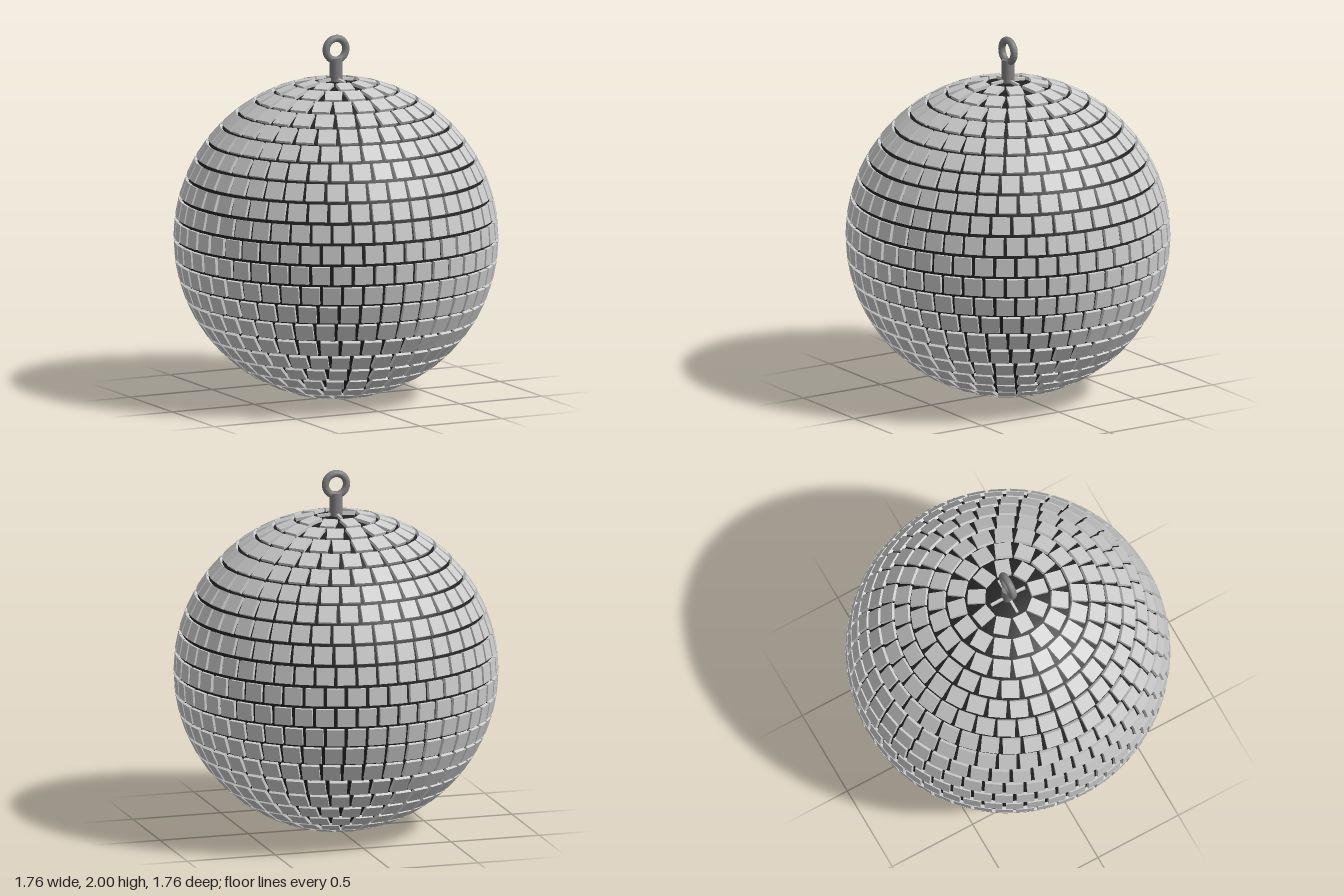
import * as THREE from 'three';
import { mergeGeometries } from 'three/addons/utils/BufferGeometryUtils.js';

const CENTER_Y = 0.883;
const FACE_R = 0.88; // distance from ball centre to a tile's face
const ROWS = 24;
const TILE = 0.096;
const THICK = 0.03;

const material = (color) => new THREE.MeshStandardMaterial({ color });

function addMesh(parent, name, geometry, mat, y) {
  const mesh = new THREE.Mesh(geometry, mat);
  mesh.name = name;
  mesh.position.y = y;
  parent.add(mesh);
  return mesh;
}

// One ring of flat mirror tiles, every other ring shifted by half a tile
function tileRow(i) {
  const pitch = Math.PI / ROWS;
  const theta = (i + 0.5) * pitch;
  const count = Math.max(4, Math.floor(2 * ROWS * Math.sin(theta)));
  // Tiles near the poles narrow so that their inner corners do not overlap
  const polar = Math.min(theta, Math.PI - theta);
  const innerR = FACE_R * Math.sin(polar - TILE / FACE_R / 2);
  const width = Math.min(TILE, (0.92 * innerR * 2 * Math.PI) / count);
  const tiles = [];
  for (let j = 0; j < count; j++) {
    const phi = ((j + (i % 2) / 2) / count) * Math.PI * 2;
    const tile = new THREE.BoxGeometry(width, TILE, THICK);
    tile.translate(0, 0, FACE_R - THICK / 2);
    tile.rotateX(theta - Math.PI / 2);
    tile.rotateY(Math.PI / 2 - phi);
    tiles.push(tile);
  }
  return mergeGeometries(tiles);
}

export function createModel() {
  const model = new THREE.Group();
  model.name = 'mirrorBall';
  const mirror = material(0xcccccc);
  const dark = material(0x222222);
  const metal = material(0x808080);

  // Dark core
  addMesh(model, 'core', new THREE.SphereGeometry(0.864, 64, 48), dark, CENTER_Y);

  // Mirror tiles
  const tiles = new THREE.Group();
  tiles.name = 'mirrorTiles';
  model.add(tiles);
  for (let i = 0; i < ROWS; i++) addMesh(tiles, `tileRow${i + 1}`, tileRow(i), mirror, CENTER_Y);

  // Hanger
  addMesh(model, 'hangerStem', new THREE.CylinderGeometry(0.034, 0.034, 0.14, 24), metal, 1.803);
  addMesh(model, 'hangerRing', new THREE.TorusGeometry(0.06, 0.02, 12, 36), metal, 1.92);

  return model;
}
